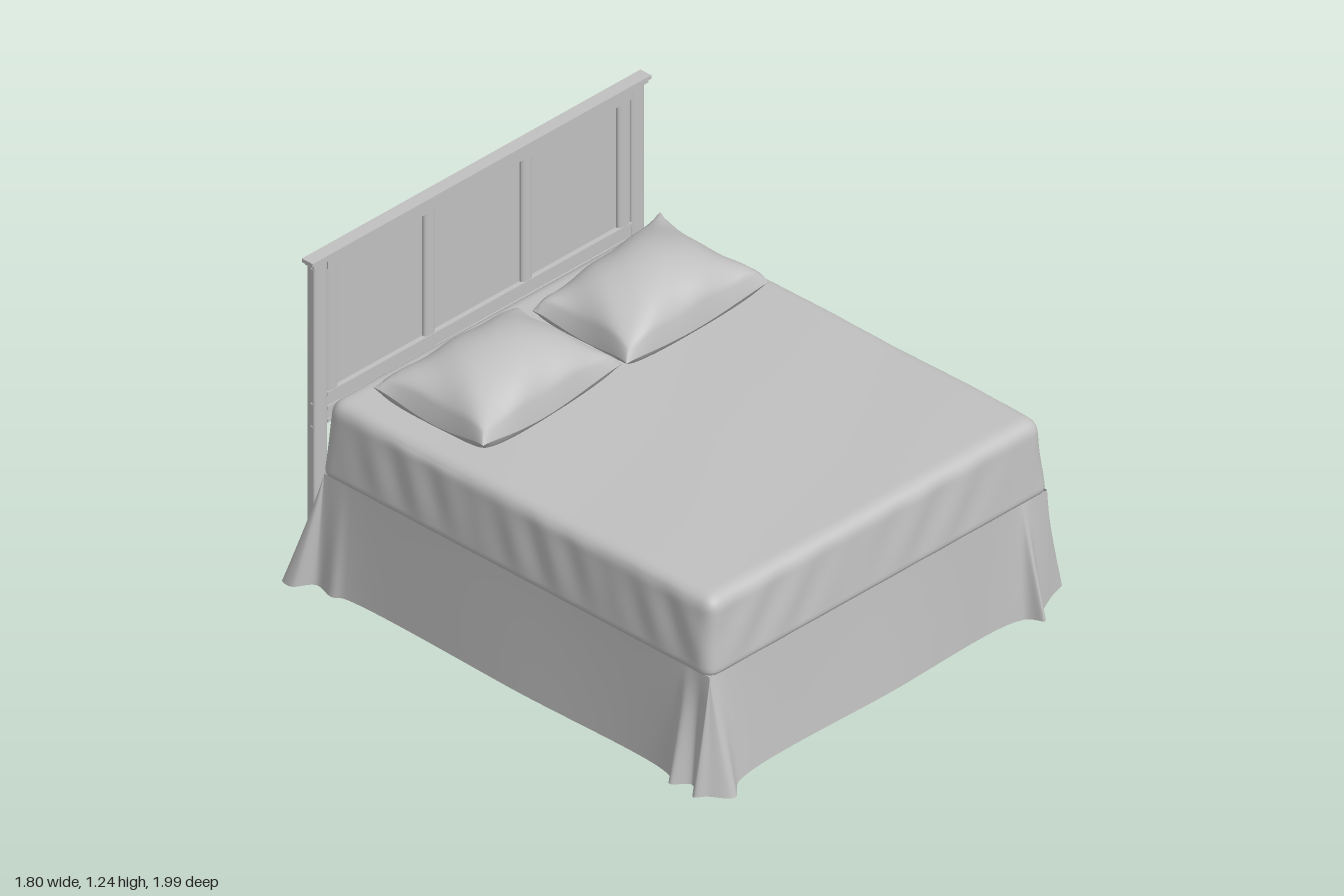
import * as THREE from 'three';
import { mergeVertices, mergeGeometries } from 'three/addons/utils/BufferGeometryUtils.js';

const clamp = THREE.MathUtils.clamp;
const grey = new THREE.MeshStandardMaterial({ color: 0xc0c0c0 });
grey.name = 'plain grey';
const greyCloth = new THREE.MeshStandardMaterial({ color: 0xc0c0c0, side: THREE.DoubleSide });
greyCloth.name = 'plain grey cloth';

function add(parent, name, geometry, material = grey) {
  const mesh = new THREE.Mesh(geometry, material);
  mesh.name = name;
  parent.add(mesh);
  return mesh;
}

// Box given by its limits on each axis
function block(parent, name, x0, x1, y0, y1, z0, z1) {
  const mesh = add(parent, name, new THREE.BoxGeometry(x1 - x0, y1 - y0, z1 - z0));
  mesh.position.set((x0 + x1) / 2, (y0 + y1) / 2, (z0 + z1) / 2);
}

// Upright with a softly bowed front face
function upright(parent, name, x, width, y0, y1, z0, z1) {
  const h = width / 2, bow = 0.012;
  const shape = new THREE.Shape();
  shape.moveTo(-h, -z0);
  shape.lineTo(-h, -z1 + bow);
  shape.bezierCurveTo(-h * 0.8, -z1 - 0.001, h * 0.8, -z1 - 0.001, h, -z1 + bow);
  shape.lineTo(h, -z0);
  const g = new THREE.ExtrudeGeometry(shape, { depth: y1 - y0, bevelEnabled: false, curveSegments: 10 });
  add(parent, name, g.rotateX(-Math.PI / 2)).position.set(x, y0, 0);
}

// Move every vertex by a rule, then weld and smooth
function reshape(geometry, rule) {
  const p = geometry.attributes.position;
  const v = new THREE.Vector3();
  for (let i = 0; i < p.count; i++) {
    rule(v.fromBufferAttribute(p, i));
    p.setXYZ(i, v.x, v.y, v.z);
  }
  geometry.deleteAttribute('normal');
  geometry.deleteAttribute('uv');
  const welded = mergeVertices(geometry, 1e-5);
  welded.computeVertexNormals();
  return welded;
}

function makeHeadboard() {
  const g = new THREE.Group();
  g.name = 'headboard';
  block(g, 'cap', -0.8, 0.8, 1.226, 1.24, -0.988, -0.938);
  block(g, 'capMoulding', -0.79, 0.79, 1.214, 1.226, -0.984, -0.942);
  block(g, 'topRail', -0.72, 0.72, 1.18, 1.214, -0.976, -0.946);
  block(g, 'backPanel', -0.72, 0.72, 0.69, 1.19, -0.975, -0.966);
  block(g, 'lowerRail', -0.72, 0.72, 0.585, 0.69, -0.97, -0.952);
  for (const y of [0.575, 0.625, 0.68]) {
    block(g, 'railMoulding', -0.72, 0.72, y, y + 0.014, -0.976, -0.947);
  }
  for (const x of [-0.23, 0.23]) upright(g, 'stile', x, 0.05, 0.69, 1.18, -0.968, -0.946);
  for (const s of [-1, 1]) {
    upright(g, 'post', s * 0.749, 0.064, 0, 1.214, -0.981, -0.941);
    upright(g, 'outerStile', s * 0.69, 0.056, 0.69, 1.18, -0.968, -0.946);
    // Bolt heads on the outside of each post
    for (const y of [0.58, 0.67, 1.2]) {
      const bolt = add(g, 'bolt', new THREE.CylinderGeometry(0.006, 0.006, 0.004, 12));
      bolt.rotation.z = Math.PI / 2;
      bolt.position.set(s * 0.782, y, -0.963);
    }
  }
  return g;
}

// Skirt: a flared hem line with corner pleats, drawn in to a plain rectangle at the top
function skirtGeometry() {
  const hemLine = [
    // front, then front left corner
    [0, 0.92], [0.65, 0.925], [0.685, 0.99], [0.72, 0.94], [0.8, 0.9], [0.885, 0.87], [0.88, 0.83], [0.815, 0.77],
    // left side, then back left corner
    [0.81, 0], [0.815, -0.77], [0.85, -0.81], [0.82, -0.86], [0.885, -0.905], [0.9, -0.955], [0.82, -0.955], [0.76, -0.92],
    // back, then back right corner
    [0, -0.915], [-0.76, -0.925], [-0.84, -0.955], [-0.885, -0.995], [-0.895, -0.94], [-0.835, -0.885], [-0.845, -0.81], [-0.83, -0.76],
    // right side, then front right corner
    [-0.832, 0], [-0.84, 0.74], [-0.885, 0.79], [-0.83, 0.84], [-0.885, 0.9], [-0.85, 0.935], [-0.785, 0.993], [-0.71, 0.94]];
  const hem = new THREE.CatmullRomCurve3(hemLine.map(([x, z]) => new THREE.Vector3(x, 0, z)), true, 'centripetal');
  const around = 384, rows = 12, pos = [], index = [];
  for (let r = 0; r <= rows; r++) {
    const t = r / rows;
    for (let i = 0; i < around; i++) {
      const b = hem.getPoint(i / around);
      const a = new THREE.Vector3(clamp(b.x, -0.797, 0.797), 0, clamp(b.z, -0.888, 0.888));
      a.lerp(b, Math.pow(t, 1.1));
      pos.push(a.x, 0.438 - t * (0.423 + 0.004 * Math.sin(i * Math.PI / 16)), a.z);
      if (r < rows) {
        const j = (i + 1) % around, k = r * around, n = k + around;
        index.push(k + i, n + i, k + j, k + j, n + i, n + j);
      }
    }
  }
  const g = new THREE.BufferGeometry();
  g.setAttribute('position', new THREE.Float32BufferAttribute(pos, 3));
  g.setIndex(index);
  g.computeVertexNormals();
  return g;
}

// Tapered mattress, round above and tight below, with slanting sheet creases
function mattressGeometry() {
  const hx = 0.808, hy = 0.147, hz = 0.902, r = 0.05;
  const box = new THREE.BoxGeometry(hx * 2, hy * 2, hz * 2, 90, 24, 100);
  const inner = new THREE.Vector3();
  return reshape(box, (v) => {
    const squash = v.y < 0 ? 0.45 : 1;
    inner.set(clamp(v.x, -hx + r, hx - r), clamp(v.y, -hy + r * squash, hy - r), clamp(v.z, -hz + r, hz - r));
    v.sub(inner);
    v.y /= squash;
    v.normalize().multiplyScalar(r);
    v.y *= squash;
    v.add(inner);
    const h = (v.y + hy) / (2 * hy);
    const fold = 0.005 * Math.sin(h * Math.PI);
    if (Math.abs(v.x) > hx - r) v.x += Math.sign(v.x) * fold * Math.sin(v.z * 34 + h * 4) * Math.sin(v.z * 5 + 1);
    if (Math.abs(v.z) > hz - r) v.z += Math.sign(v.z) * fold * Math.sin(v.x * 28 - h * 5) * Math.sin(v.x * 4 + 0.4);
    if (h > 0.9) v.y += 0.004 * Math.sin(v.x * 4 + v.z * 3) * Math.sin(v.z * 6 + 1);
    v.x = v.x * (1 - 0.03 * h) - 0.006;
    v.z = v.z * (1 - 0.022 * h) + 0.003;
  });
}

// Plump cushion between four corners [x, y, z]: back left, back right, front left, front right
function pillowGeometry(corners, peak, phase) {
  const [a, b, c, d] = corners.map((p) => new THREE.Vector3(...p));
  const back = new THREE.Vector3(), front = new THREE.Vector3();
  const sheets = [1, -1].map((side) => {
    const plane = new THREE.PlaneGeometry(2, 2, 44, 36).rotateX(-side * Math.PI / 2);
    return reshape(plane, (v) => {
      const u = v.x, w = v.z;
      const pu = u * (1 - 0.11 * (1 - w * w)), pw = w * (1 - 0.05 * (1 - u * u));
      back.lerpVectors(a, b, (pu + 1) / 2);
      front.lerpVectors(c, d, (pu + 1) / 2);
      v.lerpVectors(back, front, (pw + 1) / 2);
      const swell = Math.pow(Math.max(0, (1 - u * u) * (1 - w * w)), 0.42);
      const edge = Math.max(Math.abs(u), Math.abs(w));
      const crease = 0.006 * Math.sin(u * 9 + w * 5 + phase) * edge * edge * Math.min(1, swell * 3);
      // The seam droops between the raised corners
      const seam = v.y - (v.y - 0.748) * Math.pow(Math.max(0, 1 - u * u * w * w), 1.5);
      v.y = side > 0 ? seam + (peak - seam) * swell + crease : seam + (0.724 - seam) * Math.min(1, swell * 1.8);
    });
  });
  return mergeGeometries(sheets);
}

export function createModel() {
  const bed = new THREE.Group();
  bed.name = 'bed';
  bed.add(makeHeadboard());
  block(bed, 'boxSpring', -0.79, 0.79, 0.13, 0.434, -0.88, 0.88);
  add(bed, 'bedSkirt', skirtGeometry(), greyCloth);
  add(bed, 'mattress', mattressGeometry()).position.y = 0.582;
  add(bed, 'rightPillow', pillowGeometry(
    [[-0.72, 0.81, -0.74], [-0.03, 0.8, -0.74], [-0.71, 0.8, -0.24], [-0.01, 0.78, -0.28]], 0.945, 0), greyCloth);
  add(bed, 'leftPillow', pillowGeometry(
    [[-0.01, 0.8, -0.7], [0.68, 0.83, -0.78], [0, 0.78, -0.27], [0.69, 0.78, -0.28]], 0.942, 2), greyCloth);
  return bed;
}
